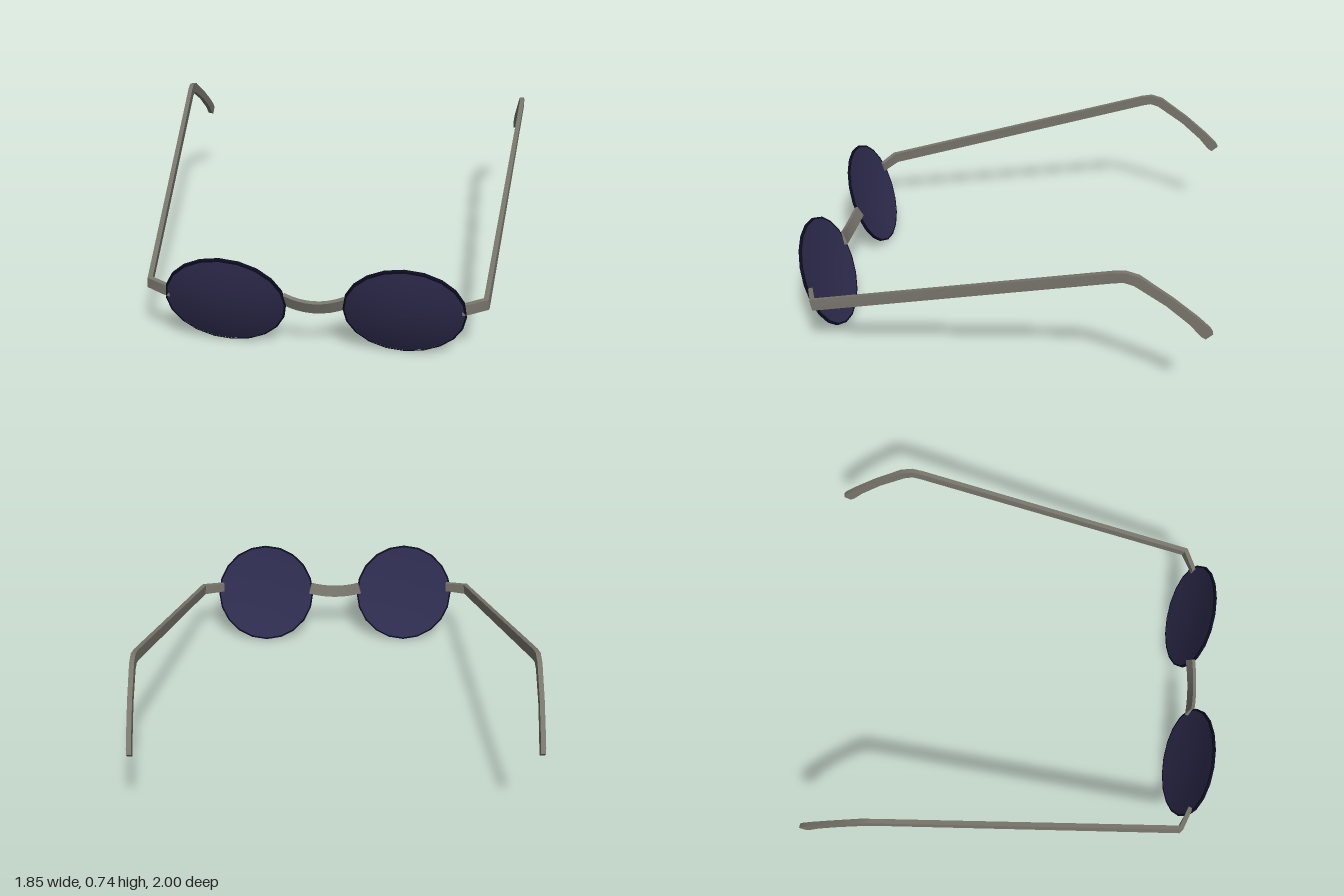
import * as THREE from 'three';
import { toCreasedNormals } from 'three/addons/utils/BufferGeometryUtils.js';

const TILT = 0.349; // lenses lean forward at the top

// Flat bar swept through points [x, y, z, height], mitred at its corners
function bar(points, thickness, lean = 0) {
  const P = points.map((p) => new THREE.Vector3(p[0], p[1], p[2]));
  const n = P.length, pos = [], idx = [];
  const dir = (i) => P[i + 1].clone().sub(P[i]).normalize();
  P.forEach((p, i) => {
    const before = dir(Math.max(i - 1, 0)), after = dir(Math.min(i, n - 2));
    const tangent = before.clone().add(after).normalize();
    const up0 = new THREE.Vector3(0, Math.cos(lean), Math.sin(lean));
    const side = tangent.clone().cross(up0).normalize();
    const up = side.clone().cross(tangent);
    const w = thickness / 2 / Math.max(tangent.dot(after), 0.7), h = points[i][3] / 2;
    for (const [a, b] of [[-1, -1], [1, -1], [1, 1], [-1, 1]]) {
      const v = p.clone().addScaledVector(side, a * w).addScaledVector(up, b * h);
      pos.push(v.x, v.y, v.z);
    }
  });
  for (let i = 0; i < n - 1; i++) {
    for (let k = 0; k < 4; k++) {
      const a = i * 4 + k, b = i * 4 + (k + 1) % 4;
      idx.push(a, b + 4, b, a, a + 4, b + 4);
    }
  }
  const e = (n - 1) * 4;
  idx.push(0, 1, 2, 0, 2, 3, e, e + 2, e + 1, e, e + 3, e + 2);
  // faces wind outward for side x up = -tangent
  for (let i = 0; i < idx.length; i += 3) [idx[i + 1], idx[i + 2]] = [idx[i + 2], idx[i + 1]];
  const g = new THREE.BufferGeometry();
  g.setAttribute('position', new THREE.Float32BufferAttribute(pos, 3));
  g.setIndex(idx);
  // make sure the hull encloses a positive volume
  let volume = 0;
  const v = (k) => new THREE.Vector3().fromArray(pos, k * 3);
  for (let i = 0; i < idx.length; i += 3) volume += v(idx[i]).dot(v(idx[i + 1]).cross(v(idx[i + 2])));
  if (volume < 0) g.setIndex(idx.slice().reverse());
  return toCreasedNormals(g.toNonIndexed(), 0.6);
}

// Round profile turned about the lens axis, facing +z
function turned(profile) {
  const g = new THREE.LatheGeometry(profile.map(([r, d]) => new THREE.Vector2(r, d)), 20);
  return g.rotateX(Math.PI / 2);
}

export function createModel() {
  const model = new THREE.Group();
  model.name = 'roundGlasses';
  const metal = new THREE.MeshStandardMaterial({ name: 'warm grey metal', color: 0x78756c });
  const glass = new THREE.MeshStandardMaterial({ name: 'dark indigo glass', color: 0x2f2d50 });
  const edge = new THREE.MeshStandardMaterial({ name: 'near black rim', color: 0x0c0b20 });

  const add = (parent, name, geometry, material) => {
    const mesh = new THREE.Mesh(geometry, material);
    mesh.name = name;
    parent.add(mesh);
    return mesh;
  };

  // Lens surfaces: domed front, hollow back, thin rim between them
  const dome = [], hollow = [];
  for (let i = 0; i <= 5; i++) {
    const t = i / 5;
    dome.push([0.27 * (1 - t), 0.013 + 0.035 * (1 - (1 - t) ** 2)]);
    hollow.push([0.27 * t, 0.001 + 0.02 * (1 - t * t)]);
  }
  const frontGeo = turned(dome);
  const backGeo = turned(hollow);
  const rimGeo = toCreasedNormals(
    turned([[0.268, 0.0], [0.277, 0.0], [0.277, 0.013], [0.268, 0.015]]), 0.6);

  for (const [s, sideName] of [[1, 'left'], [-1, 'right']]) {
    const lens = new THREE.Group();
    lens.name = sideName + 'Lens';
    add(lens, sideName + 'LensFront', frontGeo, glass);
    add(lens, sideName + 'LensBack', backGeo, glass);
    add(lens, sideName + 'LensRim', rimGeo, edge);
    lens.position.set(s * 0.405, 0.265, 0.892);
    lens.rotation.x = TILT;
    model.add(lens);

    // End piece, hinge corner, long arm and drooping ear hook in one bar
    const arm = [
      [0.655, 0.297, 0.908, 0.05], [0.69, 0.3, 0.893, 0.052], [0.765, 0.308, 0.858, 0.055],
      [0.912, 0.711, -0.56, 0.05], [0.916, 0.719, -0.605, 0.05], [0.916, 0.706, -0.655, 0.05],
      [0.912, 0.61, -0.8, 0.044], [0.907, 0.52, -0.91, 0.047], [0.905, 0.466, -0.963, 0.055],
      [0.904, 0.448, -0.981, 0.042],
    ];
    add(model, sideName + 'Arm', bar(arm.map(([x, y, z, h]) => [s * x, y, z, h]), 0.022), metal);
  }

  // Sagging nose bridge
  const bridge = [];
  for (let i = 0; i <= 8; i++) {
    const u = i / 4 - 1;
    bridge.push([u * 0.145, 0.264 + 0.028 * u * u, 0.913 - 0.013 * u * u, 0.064]);
  }
  add(model, 'noseBridge', bar(bridge, 0.018, TILT), metal);

  return model;
}
